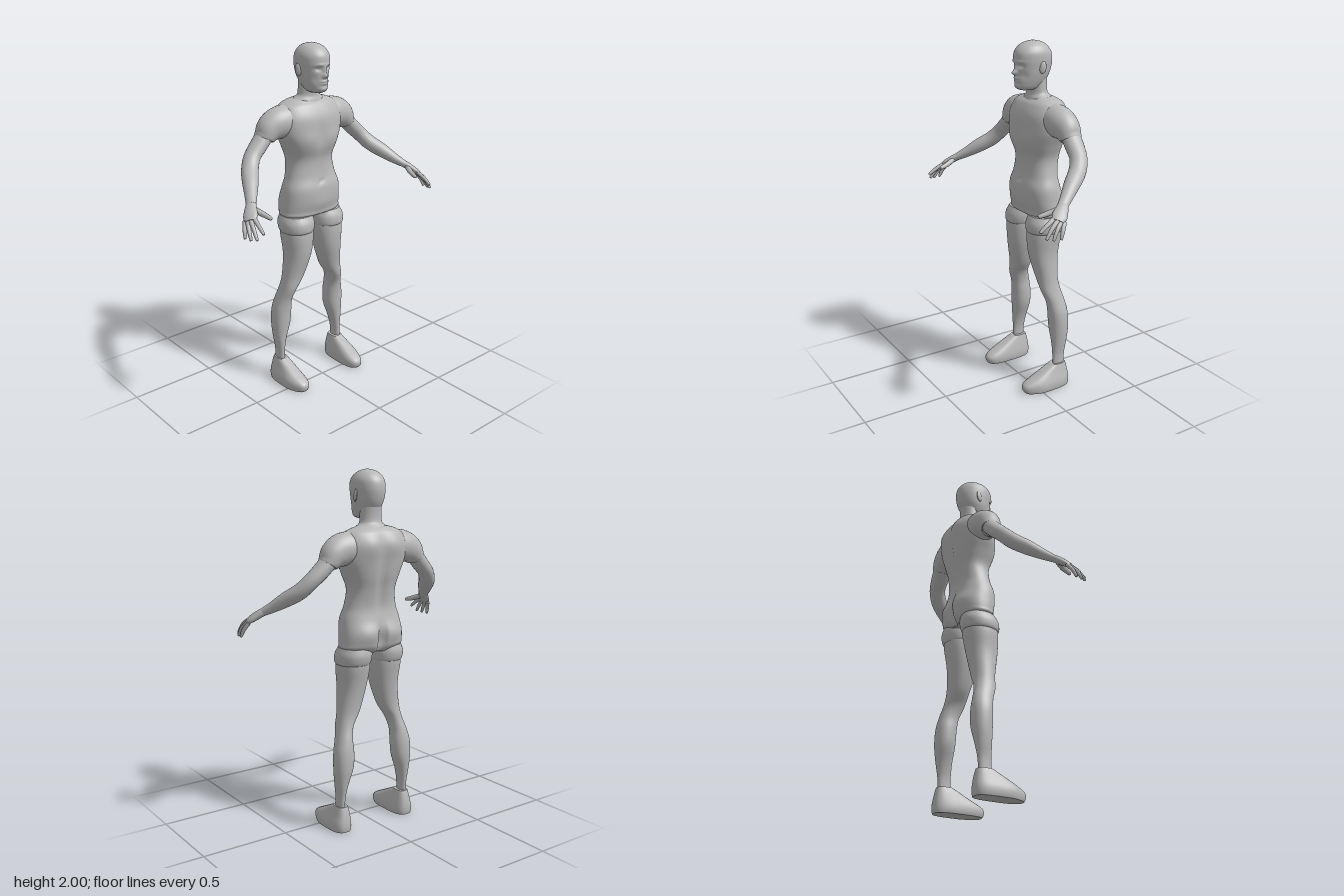
import * as THREE from 'three';

const skin = new THREE.MeshStandardMaterial({ color: 0xb8b8b8 });
skin.name = 'plain grey';

// Catmull-Rom resampling of a list of number rows
function smooth(rows, n) {
  const out = [];
  const at = (i) => rows[Math.min(Math.max(i, 0), rows.length - 1)];
  for (let i = 0; i < rows.length - 1; i++) {
    for (let k = 0; k < n; k++) {
      const t = k / n;
      out.push(rows[i].map((_, c) => {
        const [p, q, r, s] = [at(i - 1)[c], at(i)[c], at(i + 1)[c], at(i + 2)[c]];
        return q + 0.5 * t * (r - p + t * (2 * p - 5 * q + 4 * r - s + t * (3 * (q - r) + s - p)));
      }));
    }
  }
  out.push(rows[rows.length - 1]);
  return out;
}

// Closed skin over rings of points, with flat end caps
function loft(rings) {
  const pos = [], index = [], n = rings[0].length;
  const add = (p) => pos.push(p.x, p.y, p.z) / 3 - 1;
  rings.forEach((ring) => ring.forEach(add));
  for (let i = 0; i < rings.length - 1; i++) {
    for (let j = 0; j < n; j++) {
      const a = i * n + j, b = i * n + (j + 1) % n;
      index.push(a, a + n, b, b, a + n, b + n);
    }
  }
  for (const [ring, top] of [[rings[0], false], [rings[rings.length - 1], true]]) {
    const mid = ring.reduce((m, p) => m.add(p), new THREE.Vector3()).divideScalar(n);
    const c = add(mid), ids = ring.map(add);
    ids.forEach((a, j) => {
      const b = ids[(j + 1) % n];
      index.push(c, top ? b : a, top ? a : b);
    });
  }
  const geo = new THREE.BufferGeometry();
  geo.setAttribute('position', new THREE.Float32BufferAttribute(pos, 3));
  geo.setIndex(index);
  geo.computeVertexNormals();
  return geo;
}

// Upright form from rows of [y, xMin, xMax, zFront, zBack], bottom to top
function upright(rows, { seg = 32, steps = 4, power = 2, deform } = {}) {
  const bend = (v) => Math.sign(v) * Math.abs(v) ** (2 / power);
  return loft(smooth(rows, steps).map(([y, x0, x1, zf, zb]) =>
    Array.from({ length: seg }, (_, j) => {
      const a = j / seg * Math.PI * 2, s = bend(Math.sin(a));
      const p = new THREE.Vector3((x0 + x1) / 2 + (x1 - x0) / 2 * bend(Math.cos(a)), y, (zf + zb) / 2 + (zf - zb) / 2 * s);
      if (deform) deform(p, s);
      return p;
    })));
}

// Limb along a path from rows of [x, y, z, radiusUp, radiusSide]
function limb(rows, seg = 20, steps = 4) {
  const list = smooth(rows, steps), pt = (i) => new THREE.Vector3(...list[i].slice(0, 3));
  return loft(list.map((row, i) => {
    const t = pt(Math.min(i + 1, list.length - 1)).sub(pt(Math.max(i - 1, 0))).normalize();
    const u = new THREE.Vector3(0.5, 1, 0);
    u.addScaledVector(t, -u.dot(t)).normalize();
    const v = u.clone().cross(t);
    return Array.from({ length: seg }, (_, j) => {
      const a = j / seg * Math.PI * 2;
      return pt(i).addScaledVector(u, row[3] * Math.cos(a)).addScaledVector(v, row[4] * Math.sin(a));
    });
  }));
}

// Symmetric soft bumps [side, x, y, widthX, widthY, depth] pushed along z
function sculpt(bumps) {
  return (p, s) => {
    const x = Math.abs(p.x), y = p.y;
    let dz = 0;
    for (const [side, bx, by, wx, wy, d] of bumps) {
      const w = Math.max(0, s * side);
      dz += side * d * Math.min(1, w * 1.5) * Math.exp(-(((x - bx) / wx) ** 2) - ((y - by) / wy) ** 2);
    }
    p.z += dz;
  };
}

const both = (rows) => rows.map(([y, w, f, b]) => [y, -w, w, f, b]);

function mirrored(geo) {
  const g = geo.clone().scale(-1, 1, 1), id = g.index.array;
  for (let i = 0; i < id.length; i += 3) [id[i], id[i + 1]] = [id[i + 1], id[i]];
  g.computeVertexNormals();
  return g;
}

export function createModel() {
  const model = new THREE.Group();
  model.name = 'figure';
  const add = (name, geo) => {
    const m = new THREE.Mesh(geo, skin);
    m.name = name;
    model.add(m);
  };
  const pair = (name, geo) => {
    add('left ' + name, geo);
    add('right ' + name, mirrored(geo));
  };

  // Torso with chest, navel, spine and seat modelling
  add('torso', upright(both([
    [1.015, 0.11, -0.08, -0.2], [1.04, 0.188, -0.02, -0.222], [1.07, 0.194, -0.012, -0.232],
    [1.13, 0.19, 0, -0.238], [1.2, 0.18, 0, -0.218], [1.27, 0.156, -0.018, -0.208],
    [1.36, 0.143, -0.022, -0.222], [1.44, 0.168, -0.002, -0.24], [1.52, 0.2, 0, -0.25],
    [1.6, 0.205, -0.008, -0.255], [1.66, 0.18, -0.036, -0.236], [1.685, 0.14, -0.06, -0.215],
    [1.7, 0.09, -0.08, -0.19],
  ]), { seg: 64, steps: 6, power: 2.4, deform: sculpt([
    [1, 0, 1.5, 0.02, 0.08, -0.008], [1, 0.09, 1.48, 0.06, 0.05, 0.008], [1, 0, 1.235, 0.01, 0.012, -0.012],
    [1, 0, 1.1, 0.06, 0.05, 0.006], [-1, 0, 1.42, 0.025, 0.2, -0.018], [-1, 0.08, 1.6, 0.05, 0.07, 0.01],
    [-1, 0, 1.09, 0.016, 0.07, -0.045], [-1, 0.09, 1.11, 0.06, 0.05, 0.008],
  ]) }));

  // Shoulders ending in a short sleeve edge
  pair('shoulder', limb([
    [0.06, 1.58, -0.135, 0.09, 0.085], [0.18, 1.585, -0.135, 0.09, 0.085],
    [0.25, 1.56, -0.14, 0.08, 0.075], [0.29, 1.52, -0.142, 0.056, 0.064], [0.299, 1.508, -0.142, 0.048, 0.058],
  ], 32, 6));

  // Arms
  pair('arm', limb([
    [0.275, 1.54, -0.145, 0.045, 0.055], [0.335, 1.478, -0.138, 0.044, 0.053], [0.39, 1.425, -0.125, 0.042, 0.048],
    [0.435, 1.37, -0.085, 0.043, 0.047], [0.48, 1.325, -0.02, 0.04, 0.043],
    [0.525, 1.28, 0.045, 0.029, 0.033], [0.557, 1.252, 0.09, 0.021, 0.028],
  ], 24));
  pair('hand', limb([
    [0.55, 1.258, 0.08, 0.02, 0.027], [0.572, 1.24, 0.105, 0.021, 0.033],
    [0.598, 1.215, 0.138, 0.018, 0.04], [0.615, 1.198, 0.16, 0.012, 0.03],
  ]));

  // Fingers and thumb from knuckle to tip
  const fingers = {
    'index finger': [[0.592, 1.215, 0.155], [0.602, 1.185, 0.212], [0.605, 1.155, 0.256]],
    'middle finger': [[0.608, 1.206, 0.15], [0.625, 1.17, 0.2], [0.632, 1.125, 0.236]],
    'ring finger': [[0.618, 1.198, 0.14], [0.639, 1.16, 0.18], [0.647, 1.118, 0.205]],
    'little finger': [[0.625, 1.192, 0.128], [0.645, 1.155, 0.15], [0.654, 1.117, 0.165]],
    thumb: [[0.562, 1.238, 0.115], [0.54, 1.22, 0.165], [0.528, 1.207, 0.215]],
  };
  for (const [name, [a, b, c]] of Object.entries(fingers)) {
    const r = name === 'thumb' ? 0.015 : 0.011;
    const end = c.map((v, i) => v + (c[i] - b[i]) * 0.06);
    pair(name, limb([[...a, r, r * 1.2], [...b, r, r], [...c, r * 0.7, r * 0.7], [...end, 0.002, 0.002]], 10, 3));
  }

  // Legs: wide band at the top, then thigh, knee and calf
  pair('thigh band', upright([
    [0.94, 0.03, 0.19, -0.015, -0.19], [0.955, 0.015, 0.204, 0.001, -0.208],
    [1, 0.01, 0.206, 0, -0.218], [1.04, 0.014, 0.19, -0.02, -0.21],
  ], { seg: 40, power: 2.2 }));
  pair('leg', upright([
    [0.12, 0.2, 0.24, -0.1, -0.172], [0.2, 0.197, 0.24, -0.1, -0.177], [0.28, 0.178, 0.251, -0.097, -0.19],
    [0.37, 0.148, 0.258, -0.09, -0.203], [0.46, 0.142, 0.254, -0.085, -0.201], [0.53, 0.144, 0.235, -0.075, -0.188],
    [0.6, 0.126, 0.216, -0.05, -0.17], [0.68, 0.075, 0.202, -0.038, -0.165], [0.81, 0.035, 0.19, -0.01, -0.18],
    [0.92, 0.018, 0.198, -0.003, -0.2], [0.98, 0.018, 0.195, -0.01, -0.205],
  ], { seg: 40, power: 2.2 }));

  // Plain rounded feet, tapering to the toe
  pair('foot', upright([
    [0, 0.16, 0.276, 0.09, -0.196], [0.02, 0.156, 0.28, 0.1, -0.2], [0.05, 0.158, 0.278, 0.093, -0.2],
    [0.09, 0.168, 0.264, 0.015, -0.194], [0.125, 0.178, 0.253, -0.055, -0.186], [0.143, 0.184, 0.247, -0.09, -0.18],
  ], { seg: 40, steps: 3, power: 3, deform: (p) => {
    if (p.x > 0.2) p.x = 0.2 + (p.x - 0.2) * (1 - 3 * Math.max(0, p.z));
  } }));

  // Neck and head with sculpted face
  add('neck', upright(both([
    [1.66, 0.11, -0.05, -0.2], [1.695, 0.095, -0.06, -0.195], [1.715, 0.068, -0.066, -0.177],
    [1.75, 0.062, -0.066, -0.172], [1.81, 0.06, -0.06, -0.175],
  ])));
  add('head', upright(both([
    [1.738, 0.03, -0.012, -0.1], [1.75, 0.05, 0.01, -0.13], [1.78, 0.065, 0.016, -0.16],
    [1.82, 0.077, 0.017, -0.185], [1.86, 0.083, 0.017, -0.198], [1.9, 0.086, 0.021, -0.202],
    [1.94, 0.083, 0.016, -0.195], [1.97, 0.067, -0.006, -0.173], [1.99, 0.042, -0.04, -0.142],
    [2, 0.008, -0.08, -0.1],
  ]), { seg: 96, steps: 8, power: 2.1, deform: sculpt([
    [1, 0, 1.834, 0.013, 0.013, 0.026], [1, 0, 1.862, 0.01, 0.022, 0.012], [1, 0.033, 1.872, 0.016, 0.012, -0.012],
    [1, 0.028, 1.893, 0.025, 0.008, 0.005], [1, 0, 1.805, 0.022, 0.006, 0.011], [1, 0, 1.791, 0.02, 0.005, 0.009],
    [1, 0, 1.762, 0.025, 0.012, 0.007], [1, 0.05, 1.82, 0.018, 0.025, -0.006],
  ]) }));

  // Ears
  pair('ear', new THREE.SphereGeometry(1, 16, 12).scale(0.009, 0.034, 0.019)
    .rotateY(-0.35).rotateX(-0.15).translate(0.087, 1.862, -0.1));

  return model;
}
